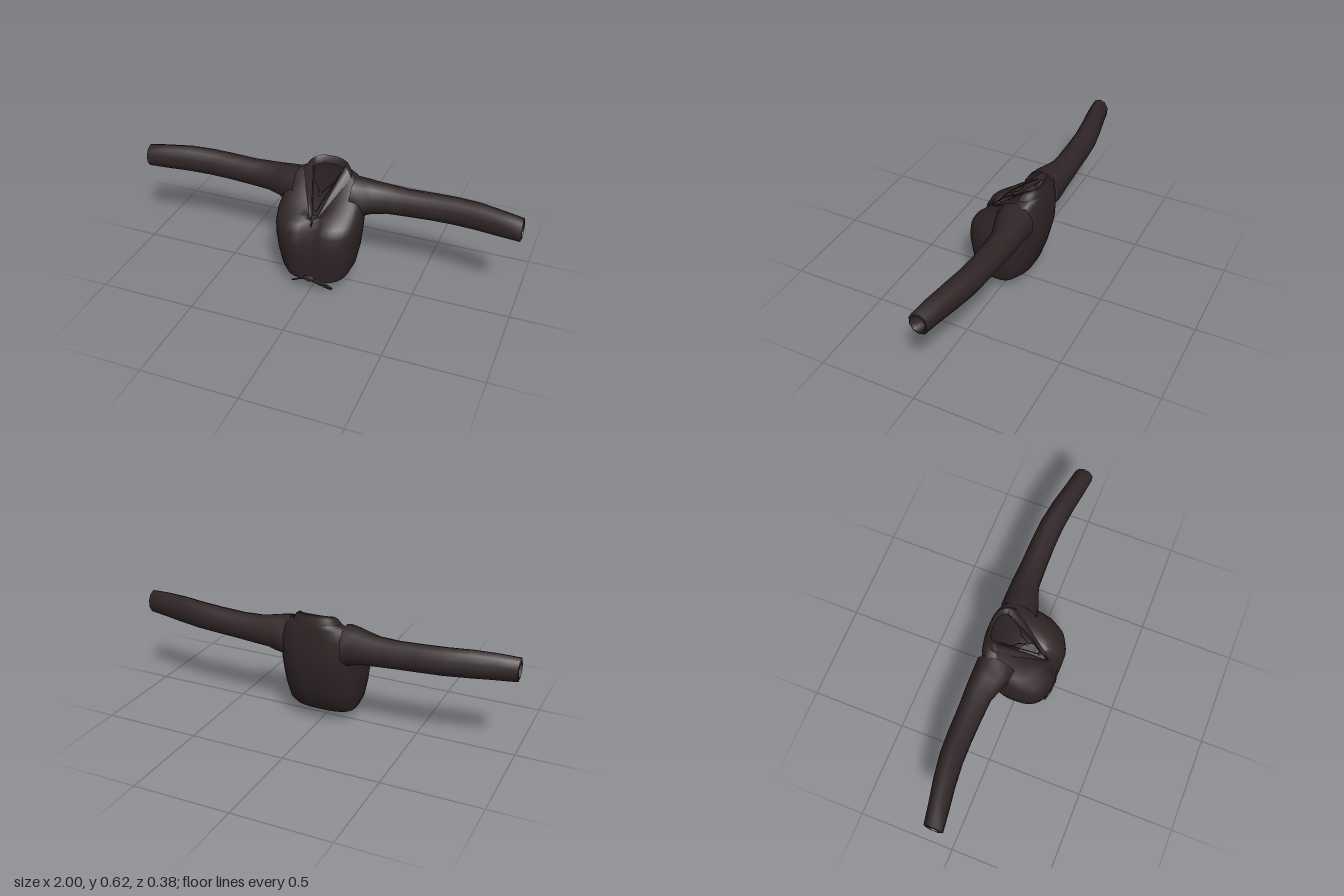
import * as THREE from 'three';

const cloth = new THREE.MeshStandardMaterial({ color: 0x302526, side: THREE.DoubleSide });
cloth.name = 'dark brown cloth';

// Skins a list of equal-length point rings; skip(centre) leaves holes.
function loft(name, rings, closed = true, skip = () => false) {
  const n = rings[0].length;
  const pts = rings.flat();
  const index = [];
  for (let i = 0; i < rings.length - 1; i++) {
    for (let j = 0; j < (closed ? n : n - 1); j++) {
      const k = (j + 1) % n;
      const a = i * n + j, b = i * n + k, c = a + n, d = b + n;
      const mid = new THREE.Vector3();
      for (const q of [a, b, c, d]) mid.addScaledVector(pts[q], 0.25);
      if (!skip(mid)) index.push(a, b, d, a, d, c);
    }
  }
  const geo = new THREE.BufferGeometry().setFromPoints(pts);
  geo.setIndex(index);
  geo.computeVertexNormals();
  const mesh = new THREE.Mesh(geo, cloth);
  mesh.name = name;
  return mesh;
}

// Horizontal or tilted body ring. v blends the front from round (0) to a V (1).
function bodyRing({ w, y, z, zm, cleft = 0, v = 0, square = 0.8 }) {
  const [yf, ys, yb] = y, [zf, zb] = z;
  const ring = [];
  const n = 40;
  for (let i = 0; i < n; i++) {
    const t = (i / n) * Math.PI * 2;
    const s = Math.sin(t), c = Math.cos(t);
    const pw = (q) => Math.sign(q) * Math.pow(Math.abs(q), square);
    const x = w * pw(s);
    if (c >= 0) {
      const f = THREE.MathUtils.lerp(pw(c), 1 - Math.abs(pw(s)), v);
      const dent = cleft * Math.exp(-((x / 0.045) ** 2));
      ring.push(new THREE.Vector3(x, ys + (yf - ys) * f, zm + (zf - zm) * f - dent));
    } else {
      const f = -pw(c);
      ring.push(new THREE.Vector3(x, ys + (yb - ys) * f, zm + (zb - zm) * f));
    }
  }
  return ring;
}

const level = (y, w, zf, zb, cleft = 0) =>
  bodyRing({ w, y: [y, y, y], z: [zf, zb], zm: 0.01, cleft, square: 0.72 });

// Sleeve along +x: [x, yLow, yHigh, zBack, zFront]
function sleeve() {
  const sections = [
    [0.15, 0.35, 0.565, -0.188, 0.01], [0.21, 0.365, 0.558, -0.188, -0.005],
    [0.25, 0.38, 0.55, -0.187, -0.02], [0.32, 0.388, 0.542, -0.185, -0.045],
    [0.42, 0.395, 0.538, -0.18, -0.05], [0.55, 0.402, 0.544, -0.177, -0.052],
    [0.66, 0.406, 0.55, -0.17, -0.05], [0.78, 0.411, 0.555, -0.15, -0.038],
    [0.9, 0.416, 0.55, -0.124, -0.02], [0.995, 0.42, 0.542, -0.106, -0.008],
    [1.0, 0.438, 0.526, -0.092, -0.022], [0.94, 0.438, 0.526, -0.1, -0.032],
  ];
  return loft('sleeve', sections.map(([x, y0, y1, z0, z1]) => {
    const ring = [];
    for (let i = 0; i < 10; i++) {
      const t = (i / 10) * Math.PI * 2;
      ring.push(new THREE.Vector3(x,
        (y0 + y1) / 2 + Math.cos(t) * (y1 - y0) / 2,
        (z0 + z1) / 2 + Math.sin(t) * (z1 - z0) / 2));
    }
    return ring;
  }));
}

// Flat curved strip hanging from the knot: [x, y, z, halfWidth]
function tail(name, rows) {
  return loft(name, rows.map(([x, y, z, h]) => [
    new THREE.Vector3(x - h, y - h * 0.35, z - 0.008),
    new THREE.Vector3(x, y, z + 0.006),
    new THREE.Vector3(x + h, y + h * 0.35, z - 0.008),
  ]), false);
}

// Fine chain with a small pendant
function necklace(w, yLow, zLow) {
  const g = new THREE.Group();
  g.name = 'necklace';
  const p = [[-w, 0.575, -0.1], [-w * 0.75, 0.54, -0.045], [-w * 0.35, (yLow + 0.53) / 2, zLow - 0.04], [0, yLow, zLow],
    [w * 0.35, (yLow + 0.53) / 2, zLow - 0.04], [w * 0.75, 0.54, -0.045], [w, 0.575, -0.1]];
  const curve = new THREE.CatmullRomCurve3(p.map((q) => new THREE.Vector3(...q)));
  const chain = new THREE.Mesh(new THREE.TubeGeometry(curve, 24, 0.0025, 5), cloth);
  chain.name = 'chain';
  const pendant = new THREE.Mesh(new THREE.SphereGeometry(0.01, 8, 6), cloth);
  pendant.name = 'pendant';
  pendant.position.set(0, yLow - 0.006, zLow);
  g.add(chain, pendant);
  return g;
}

export function createModel() {
  const model = new THREE.Group();
  model.name = 'croppedShirt';

  // Torso from hem to neckline, open at the armholes
  const torso = [
    level(0.066, 0.163, 0.163, -0.085),
    level(0.11, 0.185, 0.173, -0.13),
    level(0.2, 0.203, 0.186, -0.16, 0.005),
    level(0.28, 0.211, 0.195, -0.179, 0.02),
    level(0.345, 0.215, 0.186, -0.193, 0.04),
    bodyRing({ w: 0.215, y: [0.385, 0.41, 0.41], z: [0.165, -0.195], zm: -0.02, cleft: 0.045, square: 0.74 }),
    bodyRing({ w: 0.2, y: [0.405, 0.49, 0.49], z: [0.14, -0.192], zm: -0.07, cleft: 0.03, v: 0.2 }),
    bodyRing({ w: 0.165, y: [0.4, 0.55, 0.55], z: [0.13, -0.188], zm: -0.09, cleft: 0.01, v: 0.6 }),
    bodyRing({ w: 0.115, y: [0.365, 0.568, 0.575], z: [0.13, -0.182], zm: -0.1, v: 1 }),
  ];
  model.add(loft('torso', torso, true, (p) =>
    Math.abs(p.x) > 0.165 && Math.abs(p.y - 0.47) < 0.08 && Math.abs(p.z + 0.09) < 0.06));

  // Folded collar: outer fall, crest, inner stand
  model.add(loft('collar', [
    bodyRing({ w: 0.128, y: [0.375, 0.558, 0.565], z: [0.137, -0.184], zm: -0.09, v: 1 }),
    bodyRing({ w: 0.108, y: [0.375, 0.59, 0.605], z: [0.138, -0.178], zm: -0.1, v: 1 }),
    bodyRing({ w: 0.086, y: [0.37, 0.605, 0.621], z: [0.132, -0.165], zm: -0.115, v: 1 }),
    bodyRing({ w: 0.08, y: [0.36, 0.56, 0.575], z: [0.12, -0.16], zm: -0.11, v: 1 }),
  ]));

  // Sleeves
  const left = sleeve();
  left.name = 'leftSleeve';
  const right = sleeve();
  right.name = 'rightSleeve';
  right.scale.x = -1;
  model.add(left, right);

  // Knot and tails at the front hem
  const knot = new THREE.Mesh(new THREE.SphereGeometry(0.03, 12, 8), cloth);
  knot.name = 'knot';
  knot.scale.set(1.1, 0.7, 0.5);
  knot.position.set(0, 0.082, 0.162);
  model.add(knot);
  model.add(tail('longTail', [[0.01, 0.078, 0.168, 0.02], [0.045, 0.06, 0.162, 0.025],
    [0.072, 0.035, 0.145, 0.022], [0.092, 0.012, 0.125, 0.014], [0.105, 0.001, 0.113, 0.002]]));
  model.add(tail('shortTail', [[-0.01, 0.08, 0.168, 0.02], [-0.045, 0.07, 0.168, 0.022],
    [-0.068, 0.055, 0.162, 0.022], [-0.085, 0.044, 0.155, 0.02], [-0.098, 0.036, 0.15, 0.008]]));

  // Layered chains inside the neckline
  model.add(necklace(0.07, 0.5, 0.012), necklace(0.075, 0.425, 0.08));
  return model;
}
